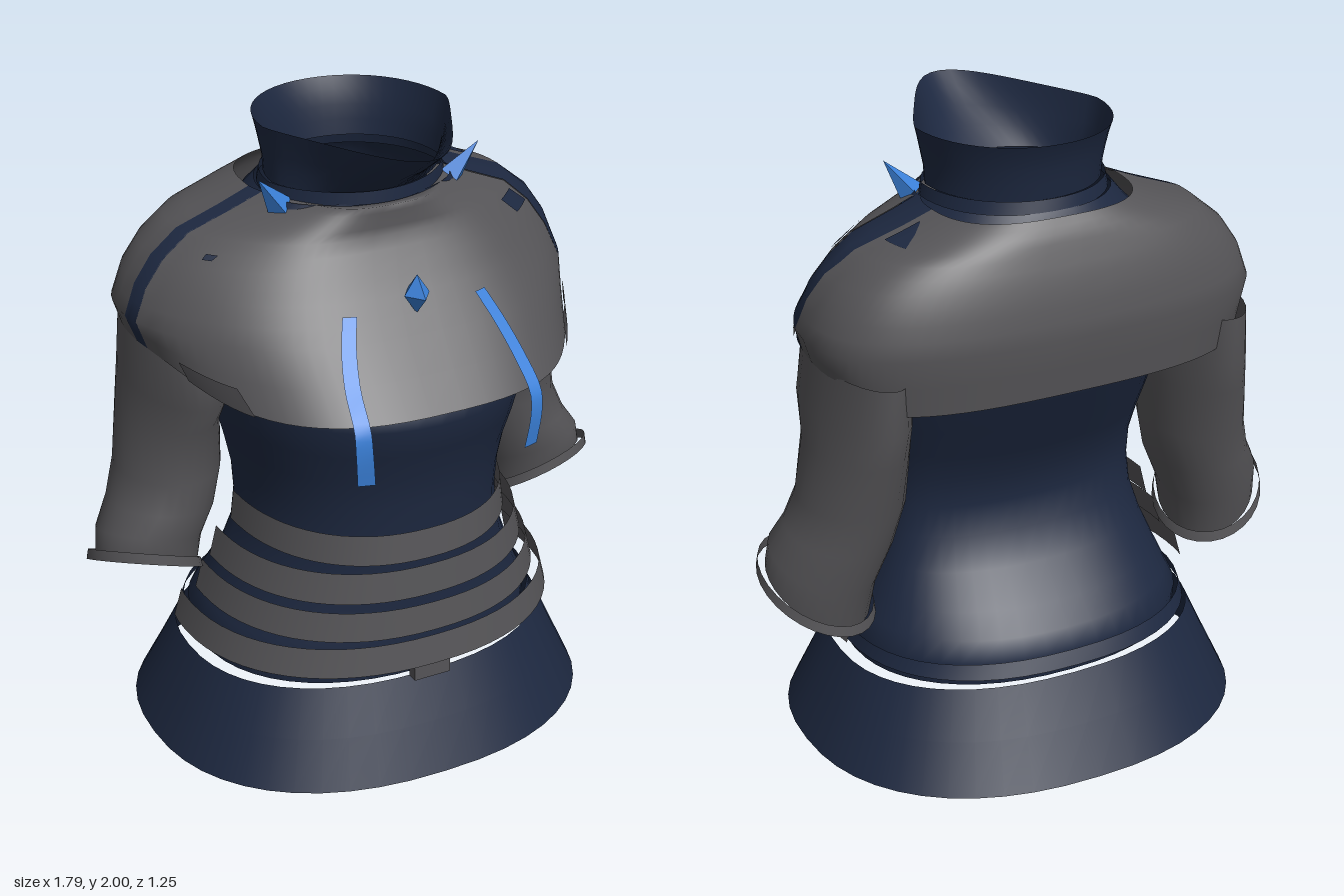
import * as THREE from 'three';
import { mergeVertices } from 'three/addons/utils/BufferGeometryUtils.js';

const mat = (name, color) => {
  const m = new THREE.MeshStandardMaterial({ color, side: THREE.DoubleSide });
  m.name = name;
  return m;
};
const rad = THREE.MathUtils.degToRad;
const spow = (v, p) => Math.sign(v) * Math.abs(v) ** p;

// Smooth sheet from a function of u, v in 0..1
function sheet(fn, nu, nv) {
  const pos = [], idx = [];
  for (let j = 0; j <= nv; j++)
    for (let i = 0; i <= nu; i++) pos.push(...fn(i / nu, j / nv));
  for (let j = 0; j < nv; j++)
    for (let i = 0; i < nu; i++) {
      const a = j * (nu + 1) + i, b = a + 1, c = a + nu + 1, d = c + 1;
      idx.push(a, b, d, a, d, c);
    }
  let g = new THREE.BufferGeometry();
  g.setAttribute('position', new THREE.Float32BufferAttribute(pos, 3));
  g.setIndex(idx);
  g = mergeVertices(g, 1e-4);
  g.computeVertexNormals();
  return g;
}

// Linear reading of a row table at row index t
function rowAt(rows, t) {
  const i = Math.max(0, Math.min(rows.length - 2, Math.floor(t)));
  return rows[i].map((v, k) => v + (rows[i + 1][k] - v) * (t - i));
}

// Point on a rounded ring; row = [y, half width, front z, back z], angle 0 = front, 90 = left
function ringPoint([y, rx, zf, zb], deg, p = 0.9, cz = 0, grow = 1) {
  const s = Math.sin(rad(deg)), c = Math.cos(rad(deg));
  const ext = c > 0 ? zf - cz : cz - zb;
  return [grow * rx * spow(s, p), y, cz + grow * ext * spow(c, p)];
}

function ringLoft(rows, { a0 = -180, a1 = 180, p = 0.9, nu = 48 } = {}) {
  const n = rows.length - 1;
  return sheet((u, v) => ringPoint(rowAt(rows, v * n), a0 + (a1 - a0) * u, p), nu, n);
}

// Shoulder armour surface: square at the back, slanted at the front corners,
// with a lower edge that rises over the arms
const ARMOUR = [
  [1.265, 0.70, 0.61, -0.45], [1.45, 0.735, 0.44, -0.47], [1.55, 0.70, 0.355, -0.455],
  [1.63, 0.645, 0.30, -0.435], [1.70, 0.56, 0.257, -0.41], [1.75, 0.42, 0.252, -0.39],
  [1.79, 0.32, 0.25, -0.36], [1.78, 0.27, 0.20, -0.30],
];
function armourPoint(deg, t, grow = 1) {
  const s = Math.sin(rad(deg)), c = Math.cos(rad(deg));
  const q = ringPoint(rowAt(ARMOUR, t), deg, c > 0 ? 0.8 : 0.7, -0.08, grow);
  q[0] *= 1 - (0.1 + 0.015 * t) * Math.max(0, 2 * Math.abs(s) * c);
  q[1] += 0.095 * s ** 10 * Math.max(0, 1 - t);
  return q;
}
// Armour piece between two edges, each edge given as [angle at bottom, angle at top]
function armourPiece(e0, e1, t0, t1, nu, grow = 1) {
  const nv = Math.max(2, Math.round((t1 - t0) * 2));
  return sheet((u, v) => {
    const a = e0[0] + (e0[1] - e0[0]) * v, b = e1[0] + (e1[1] - e1[0]) * v;
    return armourPoint(a + (b - a) * u, t0 + (t1 - t0) * v, grow);
  }, nu, nv);
}

export function createModel() {
  const root = new THREE.Group();
  const navy = mat('navy cloth', 0x1d2840);
  const grey = mat('grey armour', 0x555457);
  const dark = mat('dark grey trim', 0x434245);
  const blue = mat('bright blue', 0x3a80d8);
  const add = (name, geo, material) => {
    const m = new THREE.Mesh(geo, material);
    m.name = name;
    root.add(m);
    return m;
  };

  // Cloth body
  add('skirt', ringLoft([[0, 0.735, 0.622, -0.627], [0.15, 0.667, 0.55, -0.54], [0.295, 0.602, 0.482, -0.462]], { p: 0.87 }), navy);
  add('hipBand', ringLoft([[0.33, 0.58, 0.48, -0.478], [0.375, 0.568, 0.473, -0.455]], { p: 0.87 }), navy);
  add('torso', ringLoft([
    [0.29, 0.555, 0.455, -0.435], [0.37, 0.558, 0.463, -0.45], [0.43, 0.53, 0.46, -0.41], [0.5, 0.5, 0.455, -0.35],
    [0.6, 0.46, 0.455, -0.26], [0.7, 0.43, 0.46, -0.2], [0.8, 0.42, 0.465, -0.185], [0.9, 0.425, 0.475, -0.2],
    [1.0, 0.445, 0.49, -0.25], [1.1, 0.47, 0.525, -0.3], [1.2, 0.487, 0.557, -0.35],
    [1.28, 0.49, 0.55, -0.39], [1.45, 0.52, 0.40, -0.40], [1.6, 0.48, 0.25, -0.39],
    [1.74, 0.34, 0.2, -0.36], [1.79, 0.30, 0.2, -0.31],
  ]), navy);

  // Collar, narrowing towards a rounded front lip; last number is the reach of the lip
  const collarLoft = (rows) => sheet((u, v) => {
    const row = rowAt(rows, v * (rows.length - 1)), deg = u * 360 - 180;
    const c = Math.max(0, Math.cos(rad(deg)));
    const q = ringPoint(row, deg, 0.97);
    q[0] *= 1 - 0.2 * c;
    q[2] += row[4] * c ** 3;
    return q;
  }, 48, rows.length - 1);
  add('collarBase', collarLoft([[1.785, 0.297, 0.215, -0.31, 0], [1.825, 0.29, 0.212, -0.298, 0]]), navy);
  add('collar', collarLoft([[1.82, 0.278, 0.2, -0.285, 0], [1.87, 0.28, 0.207, -0.292, 0.068],
    [1.915, 0.289, 0.217, -0.3, 0.133], [1.96, 0.298, 0.23, -0.312, 0.185], [2.0, 0.307, 0.24, -0.33, 0.23]]), navy);

  // Chest and back armour with cloth showing between them at the shoulders
  add('chestArmour', armourPiece([-87, -83], [71, 78], 0, 7, 32), grey);
  add('backArmour', armourPiece([85, 95], [270, 270], 0, 6, 36), grey);
  add('leftShoulderGap', armourPiece([71, 78], [85, 95], 0, 6, 6), navy);
  add('rightShoulderGap', armourPiece([-90, -90], [-87, -83], 0, 6, 4), navy);
  add('frontShoulderPatch', armourPiece([57, 56], [71, 70], 3.15, 3.8, 6, 1.014), navy);
  add('smallShoulderPatch', armourPiece([-71, -71], [-67, -66], 3.3, 3.5, 3, 1.012), navy);
  add('backShoulderPatch', armourPiece([96, 98], [112, 99], 4.6, 5.5, 4, 1.015), navy);
  for (const s of [-1, 1])
    add('armpitTrim', armourPiece([s * 52, s * 55], [s * 73, s * 74], 0, 0.38, 6, 1.012), dark);

  // Layered waist plates: [top y, bottom y, top width, bottom width, top z, bottom z, end angle]
  const plates = [
    [0.817, 0.72, 0.432, 0.444, 0.49, 0.502, 90], [0.70, 0.60, 0.49, 0.515, 0.507, 0.518, 91],
    [0.58, 0.485, 0.535, 0.56, 0.535, 0.546, 93], [0.463, 0.368, 0.598, 0.622, 0.54, 0.555, 99],
  ];
  for (const [y1, y0, w1, w0, z1, z0, end] of plates)
    add('waistPlate', ringLoft([[y0, w0, z0, -0.42], [y1, w1, z1, -0.38]], { a0: -end, a1: end, nu: 36 }), grey);
  add('buckle', new THREE.BoxGeometry(0.125, 0.06, 0.035), grey).position.set(-0.007, 0.34, 0.52);

  // Sleeves: [y, centre x, centre z, half width, half depth, outward tilt, forward tilt]
  const sleeve = [
    [0.605, 0.705, -0.075, 0.16, 0.156, 0.055, 0.08], [0.70, 0.69, -0.085, 0.163, 0.176, 0.04, 0.05],
    [0.80, 0.64, -0.1, 0.165, 0.19, 0.02, 0.02], [0.92, 0.605, -0.12, 0.162, 0.205, 0, 0],
    [1.1, 0.59, -0.135, 0.145, 0.237, 0, 0], [1.21, 0.58, -0.11, 0.14, 0.29, 0, 0],
    [1.36, 0.578, -0.12, 0.12, 0.29, 0.01, -0.01],
  ];
  const armPoint = ([y, cx, cz, rx, rz, tx, tz], a, s) => {
    const si = Math.sin(a), c = Math.cos(a);
    return [s * (cx + rx * si), y + tx * si + tz * c, cz + rz * c];
  };
  const cuff = [
    [0.59, 0.71, -0.075, 0.183, 0.179, 0.06, 0.082],
    [0.625, 0.71, -0.075, 0.177, 0.174, 0.06, 0.082],
  ];
  for (const s of [-1, 1]) {
    const side = s > 0 ? 'left' : 'right';
    add(side + 'Sleeve', sheet((u, v) => armPoint(rowAt(sleeve, v * 6), u * Math.PI * 2, s), 28, 6), grey);
    add(side + 'Cuff', sheet((u, v) => armPoint(rowAt(cuff, v), u * Math.PI * 2, s), 28, 1), grey);

    // Chest ribbon
    const path = new THREE.CatmullRomCurve3([
      [0.218, 1.525, 0.385], [0.25, 1.45, 0.443], [0.277, 1.36, 0.52], [0.289, 1.27, 0.605],
      [0.288, 1.2, 0.617], [0.277, 1.09, 0.608]].map((p) => new THREE.Vector3(...p)));
    add(side + 'Ribbon', sheet((u, v) => {
      const q = path.getPoint(v), w = 0.04 + 0.011 * v;
      return [s * (q.x + (u - 0.5) * w), q.y, q.z - (u - 0.5) * 0.015];
    }, 1, 16), blue);

    // Collar spike
    const g = new THREE.ConeGeometry(0.046, 0.15, 4).toNonIndexed();
    g.computeVertexNormals();
    const spike = add(side + 'Spike', g, blue);
    spike.position.set(s * 0.325, 1.818, 0.083);
    spike.quaternion.setFromUnitVectors(new THREE.Vector3(0, 1, 0), new THREE.Vector3(s * 0.6, 0.8, 0.2).normalize());
  }

  // Chest gem
  const gem = add('chestGem', new THREE.OctahedronGeometry(1), blue);
  gem.scale.set(0.042, 0.062, 0.055);
  gem.position.set(0, 1.558, 0.392);
  return root;
}
